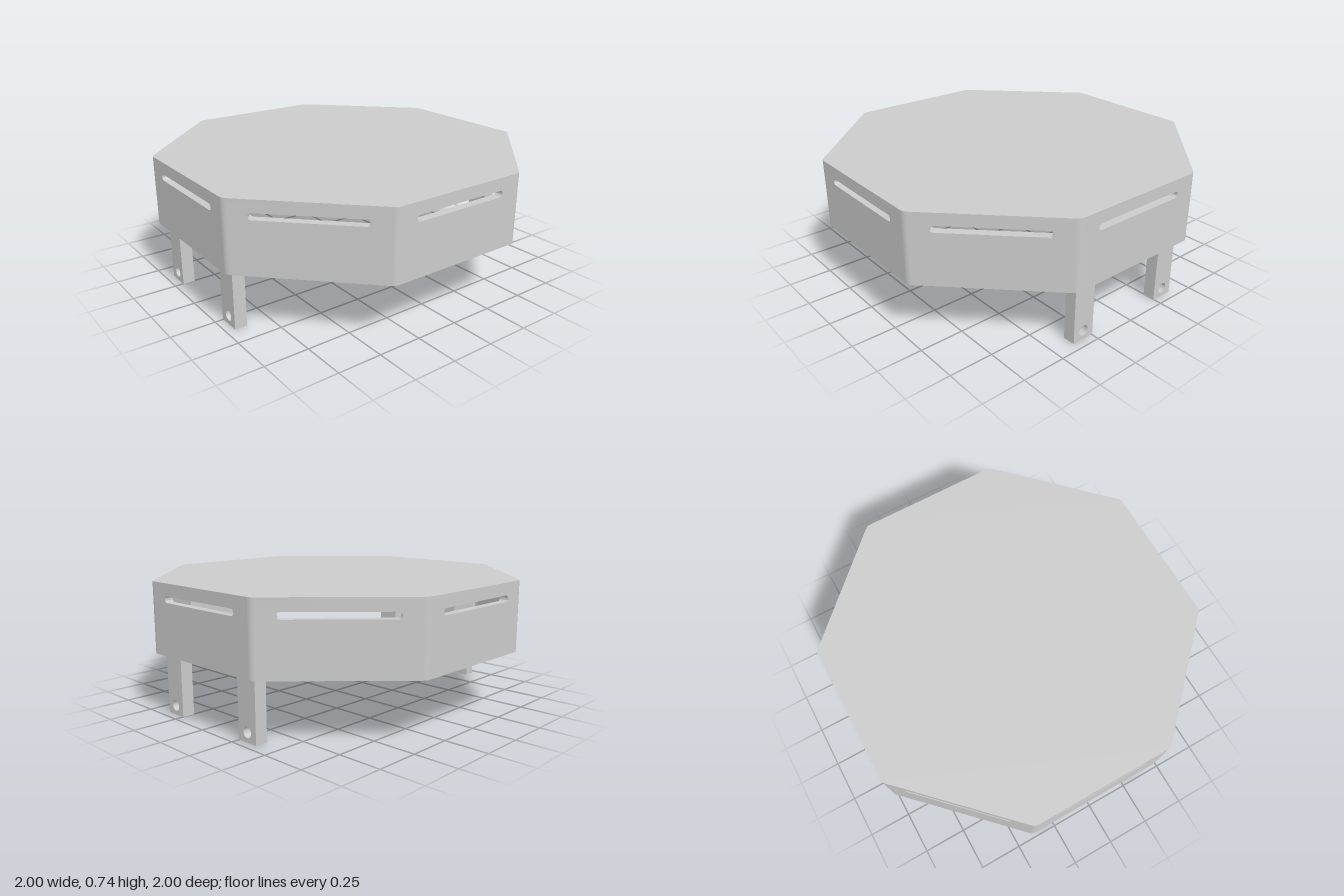
import * as THREE from 'three';
import { toCreasedNormals } from 'three/addons/utils/BufferGeometryUtils.js';

const SIDES = 8, STEP = Math.PI / 4;
const WALL = 0.048, INNER = 1 - WALL;              // wall thickness, inner apothem
const HALF = INNER * Math.tan(STEP / 2);           // half length of a flat panel
const RIM = 0.343, UNDER = 0.721, TOP = 0.743;     // skirt bottom, plate underside, plate top
const material = new THREE.MeshStandardMaterial({ color: 0xcccccc });

function mesh(name, geometry) {
  const m = new THREE.Mesh(geometry, material);
  m.name = name;
  return m;
}

function rectangle(x0, y0, x1, y1) {
  return new THREE.Shape([[x0, y0], [x1, y0], [x1, y1], [x0, y1]].map(p => new THREE.Vector2(...p)));
}

const extrude = (shape, depth) =>
  toCreasedNormals(new THREE.ExtrudeGeometry(shape, { depth, bevelEnabled: false, curveSegments: 16 }), 0.6);

// Octagonal plate with small rounded corners
function topPlate() {
  const shape = new THREE.Shape();
  const r = INNER / Math.cos(STEP / 2);
  for (let i = 0; i < SIDES; i++) {
    const a = (i + 0.5) * STEP;
    shape.absarc(r * Math.cos(a), r * Math.sin(a), WALL, i * STEP, (i + 1) * STEP, false);
  }
  shape.closePath();
  const plate = mesh('topPlate', extrude(shape, TOP - UNDER).rotateX(-Math.PI / 2));
  plate.position.y = UNDER;
  return plate;
}

// One flat side panel with a round-ended slot
function panelGeometry() {
  const shape = rectangle(-HALF, RIM, HALF, UNDER);
  const slot = new THREE.Path();
  const r = 0.018, y = 0.656, end = 0.293 - r;
  slot.absarc(end, y, r, Math.PI / 2, -Math.PI / 2, true);
  slot.absarc(-end, y, r, -Math.PI / 2, -Math.PI * 1.5, true);
  slot.closePath();
  shape.holes.push(slot);
  return extrude(shape, WALL).translate(0, 0, INNER);
}

// Leg: drilled straight foot below, wedge tapering into the wall above
function createLeg() {
  const leg = new THREE.Group();
  leg.name = 'leg';
  const width = 0.134, inside = 0.882, bend = 0.36, tip = 0.56;
  const foot = rectangle(-width / 2, 0, width / 2, bend);
  const hole = new THREE.Path();
  hole.absarc(0, 0.053, 0.03, 0, Math.PI * 2, true);
  foot.holes.push(hole);
  leg.add(mesh('legFoot', extrude(foot, INNER - inside).rotateY(Math.PI / 2).translate(inside, 0, 0)));
  const wedge = new THREE.Shape([
    new THREE.Vector2(inside, bend), new THREE.Vector2(INNER, bend), new THREE.Vector2(INNER, tip),
  ]);
  const brace = new THREE.ExtrudeGeometry(wedge, { depth: width, bevelEnabled: false });
  leg.add(mesh('legBrace', brace.translate(0, 0, -width / 2)));
  return leg;
}

export function createModel() {
  const model = new THREE.Group();
  model.name = 'octagonalPlatform';
  model.add(topPlate());

  // Skirt: eight slotted panels joined by rounded corner sectors
  const panel = panelGeometry();
  const corner = new THREE.CylinderGeometry(WALL, WALL, UNDER - RIM, 8, 1, false, 0, STEP)
    .translate(HALF, (UNDER + RIM) / 2, INNER);
  for (let i = 0; i < SIDES; i++) {
    const side = new THREE.Group();
    side.name = 'skirtSide';
    side.add(mesh('slottedPanel', panel), mesh('roundedCorner', corner));
    side.rotation.y = i * STEP;
    model.add(side);
  }

  // Two pairs of legs, inside the left and right panels
  for (const turn of [0, Math.PI]) {
    for (const z of [-0.312, 0.312]) {
      const leg = createLeg();
      leg.rotation.y = turn;
      leg.position.z = z;
      model.add(leg);
    }
  }
  return model;
}
